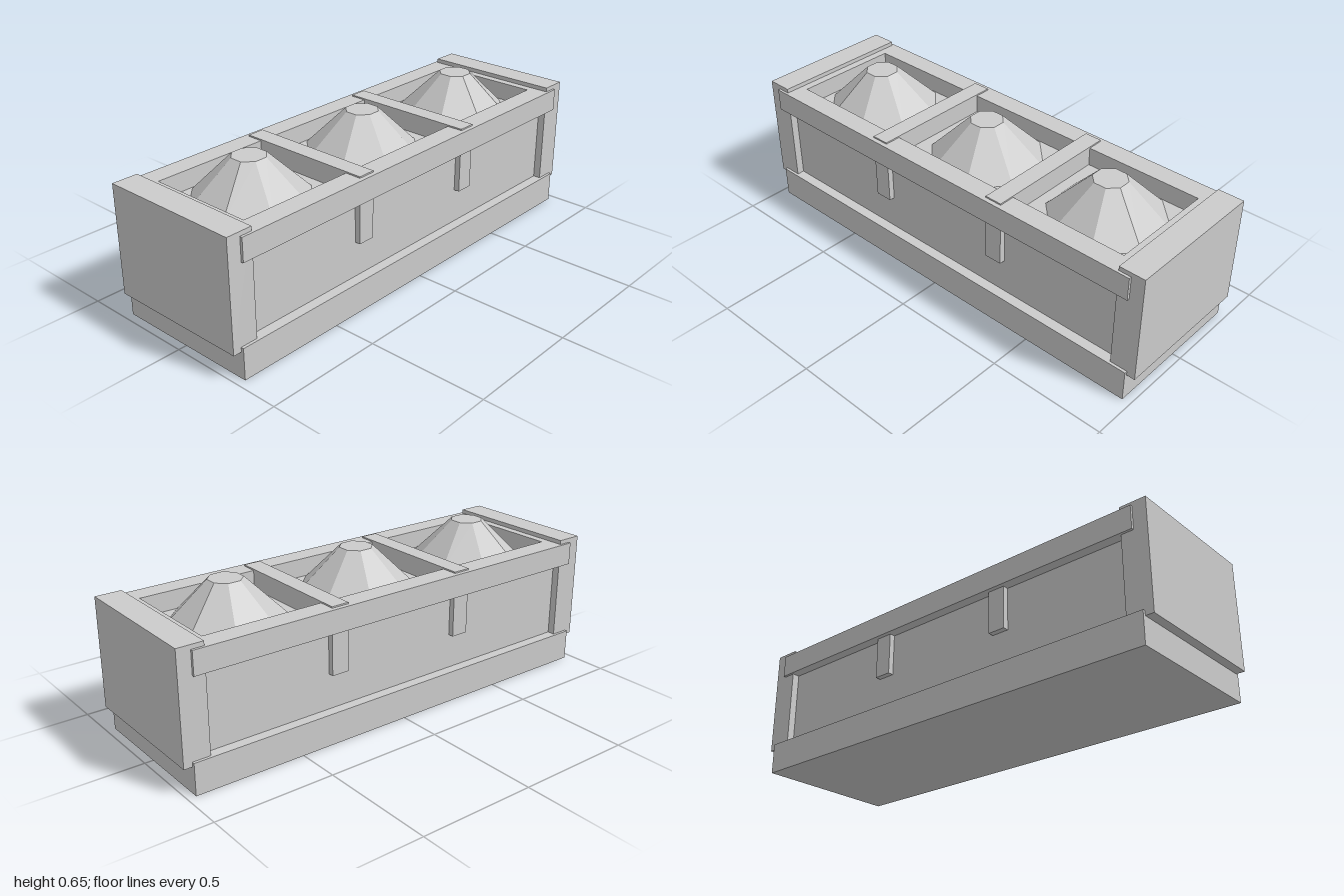
import * as THREE from 'three';

const material = new THREE.MeshStandardMaterial({ color: 0xcccccc, flatShading: true });

export function createModel() {
  const model = new THREE.Group();
  model.name = 'planterTrough';

  const add = (name, geometry, x = 0, y = 0, z = 0) => {
    const mesh = new THREE.Mesh(geometry, material);
    mesh.name = name;
    mesh.position.set(x, y, z);
    model.add(mesh);
    return mesh;
  };
  // Box centred on x, resting between two heights, symmetric in z
  const block = (name, width, bottom, top, depth, x = 0) =>
    add(name, new THREE.BoxGeometry(width, top - bottom, depth), x, (bottom + top) / 2);

  // Plinth and recessed body; the body top is the floor of the openings
  block('plinth', 1.93, 0, 0.132, 0.64);
  block('body', 1.8, 0.12, 0.477, 0.552);

  // Rim frame with three rectangular openings
  const rim = new THREE.Shape();
  const rectangle = (path, x0, x1, z) => {
    path.moveTo(x0, -z);
    path.lineTo(x1, -z);
    path.lineTo(x1, z);
    path.lineTo(x0, z);
    path.closePath();
    return path;
  };
  rectangle(rim, -0.943, 0.943, 0.319);
  for (const [x0, x1] of [[-0.855, -0.346], [-0.271, 0.271], [0.346, 0.855]]) {
    rim.holes.push(rectangle(new THREE.Path(), x0, x1, 0.23));
  }
  const rimGeometry = new THREE.ExtrudeGeometry(rim, { depth: 0.097, bevelEnabled: false });
  rimGeometry.rotateX(-Math.PI / 2);
  add('rim', rimGeometry, 0, 0.458, 0);

  // End blocks and the cross ribs between the openings
  for (const side of [-1, 1]) {
    block('endBlock', 0.11, 0.113, 0.573, 0.616, side * 0.945);
    block('crossRib', 0.075, 0.28, 0.561, 0.6, side * 0.3085);
  }

  // Octagonal mounds, flat sides facing the walls
  const toRadius = 1 / Math.cos(Math.PI / 8);
  const mound = new THREE.CylinderGeometry(0.064 * toRadius, 0.224 * toRadius, 0.173, 8);
  mound.rotateY(Math.PI / 8);
  for (const x of [-0.615, 0, 0.615]) add('mound', mound, x, 0.5635, 0);

  return model;
}
